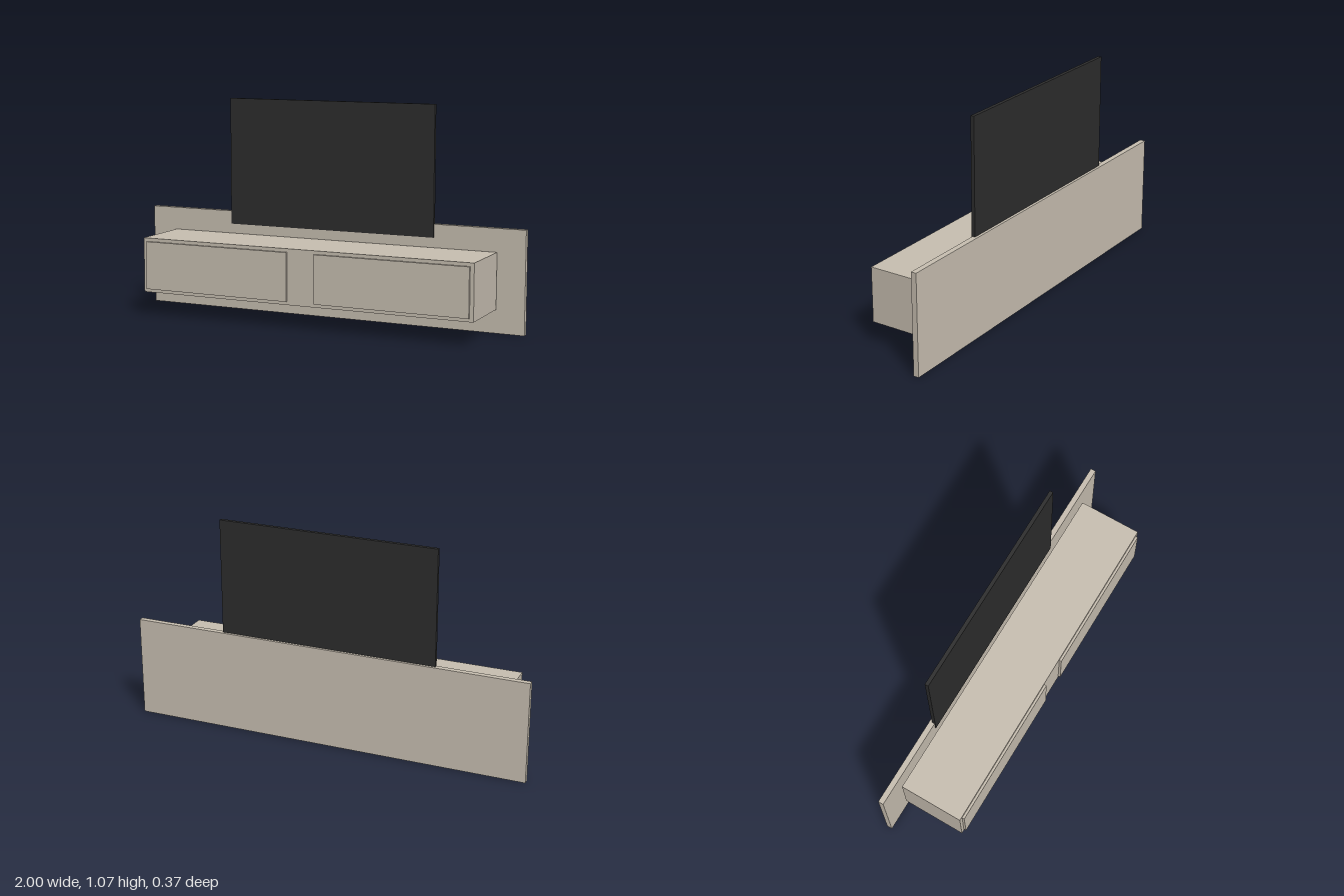
import * as THREE from 'three';

export function createModel() {
  const model = new THREE.Group();
  model.name = 'mediaWall';

  const paint = new THREE.MeshStandardMaterial({ color: 0xc9c0b2 });
  paint.name = 'warm beige';
  const black = new THREE.MeshStandardMaterial({ color: 0x2d2d2d });
  black.name = 'screen black';

  // Box given by its extents on each axis
  function box(name, material, [x0, x1], [y0, y1], [z0, z1]) {
    const mesh = new THREE.Mesh(new THREE.BoxGeometry(x1 - x0, y1 - y0, z1 - z0), material);
    mesh.position.set((x0 + x1) / 2, (y0 + y1) / 2, (z0 + z1) / 2);
    mesh.name = name;
    model.add(mesh);
  }

  // Wall panel behind everything
  box('backPanel', paint, [-1, 1], [0, 0.5], [-0.184, -0.157]);

  // Floating cabinet, with a narrow gap to the panel
  box('cabinet', paint, [-0.863, 0.863], [0.116, 0.388], [-0.149, 0.172]);

  // Two raised drawer fronts
  box('leftDrawerFront', paint, [0.072, 0.844], [0.133, 0.371], [0.172, 0.184]);
  box('rightDrawerFront', paint, [-0.844, -0.072], [0.133, 0.371], [0.172, 0.184]);

  // Flat screen set into the top of the panel
  box('screen', black, [-0.545, 0.545], [0.435, 1.07], [-0.171, -0.153]);

  return model;
}
